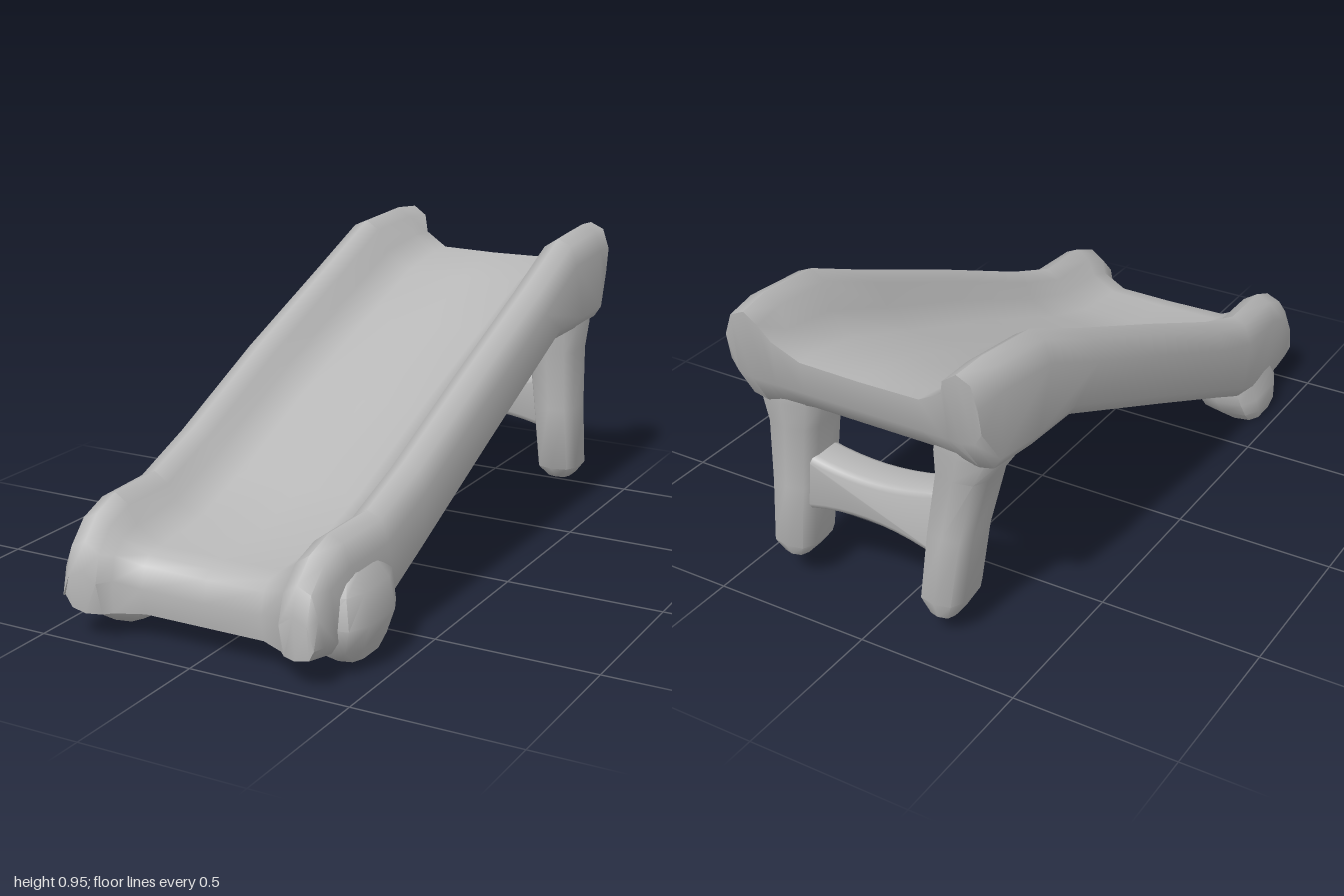
import * as THREE from 'three';
import { toCreasedNormals } from 'three/addons/utils/BufferGeometryUtils.js';

const grey = new THREE.MeshStandardMaterial({ color: 0xb8b8b8 });
grey.name = 'plain grey';

// Collects quads into a geometry with soft normals and sharp end edges
function quadMesh(name, build, crease = 0.95) {
  const pos = [];
  const tri = (a, b, c) => pos.push(...a, ...b, ...c);
  // a-b and c-d are opposite edges; flip turns the face round
  const quad = (a, b, c, d, flip) => {
    if (flip) { tri(a, c, b); tri(c, d, b); } else { tri(a, b, c); tri(c, b, d); }
  };
  build(quad, tri);
  const g = new THREE.BufferGeometry();
  g.setAttribute('position', new THREE.Float32BufferAttribute(pos, 3));
  const mesh = new THREE.Mesh(toCreasedNormals(g, crease), grey);
  mesh.name = name;
  return mesh;
}

// Chute stations, back to front, as z,y pairs: rail top, bed top, rail bottom, bed underside;
// then the width factors of the right (-x) and left (+x) side
const STATIONS = [
  [-0.985, 0.95, -0.95, 0.82, -0.97, 0.74, -0.94, 0.72, 0.91, 0.97],
  [-0.88, 0.96, -0.88, 0.815, -0.90, 0.635, -0.89, 0.65, 0.94, 1],
  [-0.67, 0.945, -0.70, 0.78, -0.74, 0.63, -0.72, 0.64, 0.98, 1],
  [-0.42, 0.835, -0.42, 0.675, -0.55, 0.63, -0.55, 0.63, 1, 1],
  [0.0, 0.66, 0.0, 0.52, 0.0, 0.39, 0.0, 0.395, 1.02, 0.99],
  [0.40, 0.485, 0.40, 0.355, 0.42, 0.20, 0.42, 0.21, 1.01, 0.98],
  [0.62, 0.405, 0.62, 0.285, 0.58, 0.125, 0.60, 0.145, 1, 0.97],
  [0.82, 0.40, 0.82, 0.267, 0.75, 0.06, 0.70, 0.17, 0.99, 0.95],
  [0.91, 0.365, 0.88, 0.258, 0.88, 0.07, 0.85, 0.18, 0.99, 0.93],
  [0.97, 0.30, 0.91, 0.235, 0.94, 0.08, 0.885, 0.14, 0.99, 0.92],
  [0.995, 0.22, 0.925, 0.17, 0.985, 0.09, 0.91, 0.09, 0.98, 0.92],
];
// Half section: x, rail share of the top, drop from top, rail share of the bottom, lift
const HALF = [
  [0.435, 1, 0.085, 1, 0.045],
  [0.412, 1, 0.02, 1, 0.01],
  [0.365, 1, 0, 1, 0],
  [0.318, 1, 0.03, 0.8, 0],
  [0.295, 0.35, 0, 0.5, 0],
  [0.21, 0, 0, 0, 0],
];
const COLUMNS = [
  ...HALF.map(([x, ...r]) => [-x, ...r]),
  [0, 0, 0.003, 0, 0],
  ...HALF.slice().reverse().map(([x, ...r]) => [x - 0.01, ...r]),
];

function makeChute() {
  const mix = THREE.MathUtils.lerp;
  const width = (s, x) => x * (x < 0 ? s[8] : s[9]);
  const top = STATIONS.map((s) => COLUMNS.map(([x, w, drop]) =>
    [width(s, x), mix(s[3], s[1], w) - drop, mix(s[2], s[0], w)]));
  const under = STATIONS.map((s) => COLUMNS.map(([x, , , w, lift]) =>
    [width(s, x), mix(s[7], s[5], w) + lift, mix(s[6], s[4], w)]));
  const n = COLUMNS.length - 1, m = STATIONS.length - 1;
  return quadMesh('chute', (quad) => {
    for (let j = 0; j < m; j++) {
      for (let i = 0; i < n; i++) {
        quad(top[j][i], top[j + 1][i], top[j][i + 1], top[j + 1][i + 1], false);
        quad(under[j][i], under[j + 1][i], under[j][i + 1], under[j + 1][i + 1], true);
      }
      for (const i of [0, n]) quad(top[j][i], under[j][i], top[j + 1][i], under[j + 1][i], i === n);
    }
    for (const j of [0, m]) for (let i = 0; i < n; i++) {
      quad(top[j][i], under[j][i], top[j][i + 1], under[j][i + 1], j === 0);
    }
  });
}

// Upright limb from rings, bottom to top: y, x min, x max, z min, z max
function makeLimb(name, rings) {
  const N = 10;
  const loops = rings.map(([y, x0, x1, z0, z1]) => Array.from({ length: N }, (_, k) => {
    const a = ((k + 0.5) / N) * Math.PI * 2;
    const soft = (v) => Math.sign(v) * Math.abs(v) ** 0.65;
    return [(x0 + x1) / 2 + soft(Math.cos(a)) * (x1 - x0) / 2, y,
      (z0 + z1) / 2 + soft(Math.sin(a)) * (z1 - z0) / 2];
  }));
  return quadMesh(name, (quad, tri) => {
    for (let j = 0; j < loops.length - 1; j++) for (let k = 0; k < N; k++) {
      const l = (k + 1) % N;
      quad(loops[j][k], loops[j + 1][k], loops[j][l], loops[j + 1][l], false);
    }
    const base = loops[0];
    for (let k = 1; k < N - 1; k++) tri(base[0], base[k], base[k + 1]);
  });
}

// Arched brace between the back legs
function makeBrace() {
  const shape = new THREE.Shape();
  shape.moveTo(-0.18, 0.27);
  shape.quadraticCurveTo(0.07, 0.36, 0.31, 0.28);
  shape.lineTo(0.31, 0.45);
  shape.quadraticCurveTo(0.07, 0.38, -0.18, 0.46);
  shape.closePath();
  const g = new THREE.ExtrudeGeometry(shape, {
    depth: 0.08, bevelEnabled: true, bevelSize: 0.02, bevelThickness: 0.02, bevelSegments: 2, curveSegments: 10,
  });
  g.translate(0, 0, -0.84);
  const mesh = new THREE.Mesh(toCreasedNormals(g, 0.9), grey);
  mesh.name = 'legBrace';
  return mesh;
}

// The legs and feet lean a little unevenly, so each has its own rings
const LIMBS = {
  rightBackLeg: [
    [0.075, -0.22, -0.14, -0.88, -0.76],
    [0.13, -0.25, -0.11, -0.90, -0.71],
    [0.35, -0.28, -0.13, -0.89, -0.70],
    [0.55, -0.33, -0.16, -0.89, -0.69],
    [0.64, -0.39, -0.16, -0.91, -0.67],
    [0.70, -0.39, -0.18, -0.91, -0.66],
  ],
  leftBackLeg: [
    [0.10, 0.30, 0.38, -0.87, -0.75],
    [0.14, 0.27, 0.41, -0.89, -0.71],
    [0.35, 0.25, 0.40, -0.89, -0.70],
    [0.55, 0.23, 0.40, -0.89, -0.69],
    [0.64, 0.20, 0.41, -0.91, -0.67],
    [0.70, 0.20, 0.40, -0.91, -0.66],
  ],
  rightFrontFoot: [
    [0.005, -0.45, -0.31, 0.65, 0.82],
    [0.04, -0.46, -0.25, 0.61, 0.86],
    [0.09, -0.455, -0.23, 0.58, 0.89],
    [0.14, -0.435, -0.24, 0.57, 0.90],
    [0.24, -0.42, -0.27, 0.60, 0.88],
  ],
  leftFrontFoot: [
    [0.035, 0.31, 0.42, 0.64, 0.82],
    [0.08, 0.24, 0.44, 0.60, 0.88],
    [0.15, 0.23, 0.46, 0.58, 0.89],
    [0.24, 0.26, 0.44, 0.58, 0.88],
    [0.29, 0.30, 0.41, 0.62, 0.84],
  ],
};

export function createModel() {
  const model = new THREE.Group();
  model.name = 'slide';
  model.add(makeChute(), makeBrace());
  for (const [name, rings] of Object.entries(LIMBS)) model.add(makeLimb(name, rings));
  return model;
}
